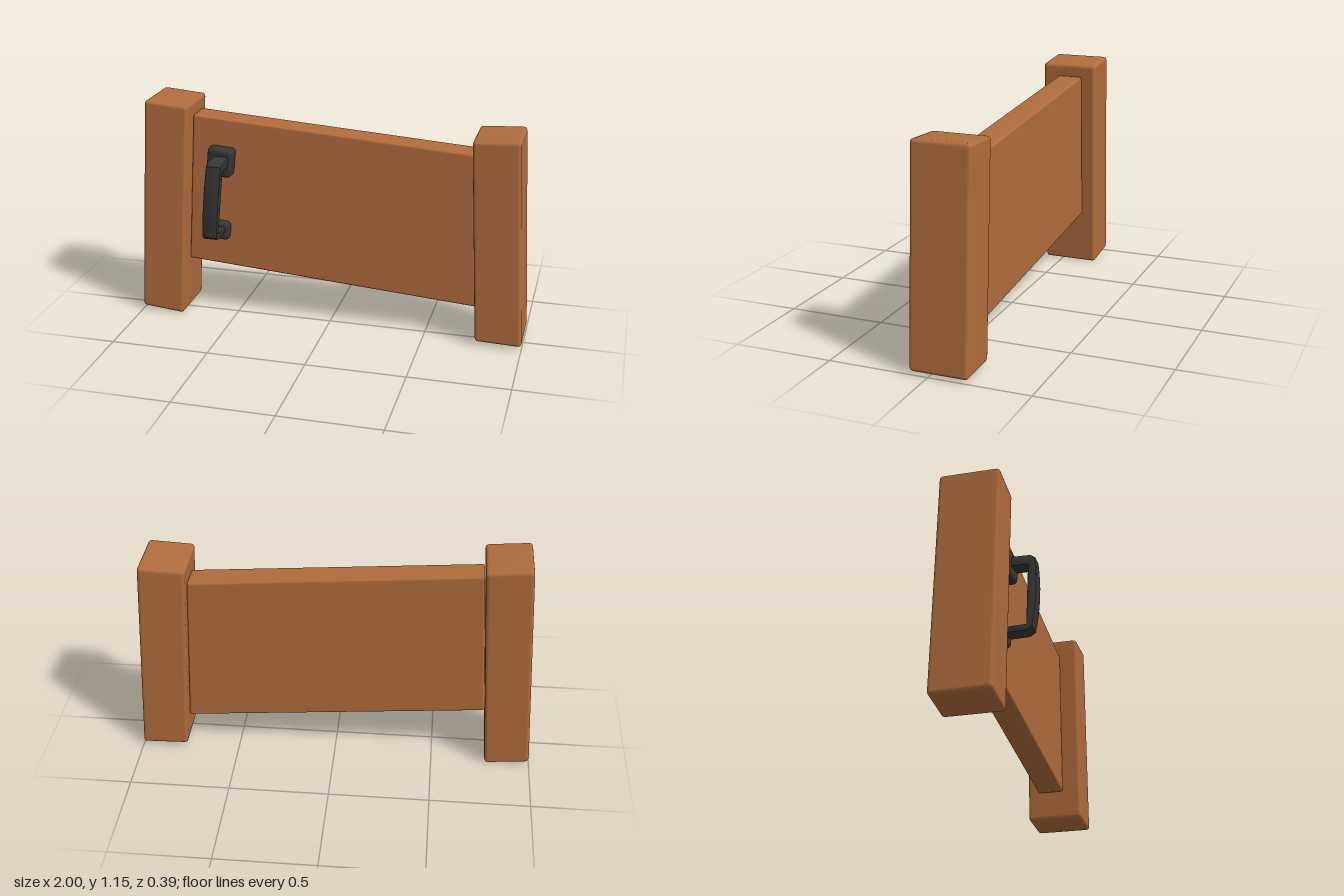
import * as THREE from 'three';
import { mergeVertices, toCreasedNormals } from 'three/addons/utils/BufferGeometryUtils.js';
import { RoundedBoxGeometry } from 'three/addons/geometries/RoundedBoxGeometry.js';

const wood = new THREE.MeshStandardMaterial({ color: 0xb06c3d });
wood.name = 'wood';
const iron = new THREE.MeshStandardMaterial({ color: 0x363636 });
iron.name = 'darkIron';

// Rounded block bent to a four-cornered front outline (bl, br, tr, tl);
// back and front give the depth range at the left and right ends.
function crookedBlock(name, material, [bl, br, tr, tl], back, front, radius) {
  const w = br[0] - bl[0], h = tl[1] - bl[1], d = front[0] - back[0];
  let geo = new RoundedBoxGeometry(w, h, d, 2, radius);
  const p = geo.attributes.position;
  const lerp = THREE.MathUtils.lerp;
  for (let i = 0; i < p.count; i++) {
    const u = p.getX(i) / w + 0.5, v = p.getY(i) / h + 0.5, t = p.getZ(i) / d + 0.5;
    const at = k => lerp(lerp(bl[k], br[k], u), lerp(tl[k], tr[k], u), v);
    p.setXYZ(i, at(0), at(1), lerp(lerp(back[0], back[1], u), lerp(front[0], front[1], u), t));
  }
  geo.deleteAttribute('normal');
  geo.deleteAttribute('uv');
  geo = mergeVertices(geo, 1e-5);
  geo.computeVertexNormals();
  const mesh = new THREE.Mesh(geo, material);
  mesh.name = name;
  return mesh;
}

// Bowed pull: side profile extruded across its width, then leaned to follow the post
function pullHandle() {
  const b = 0.01;
  const s = new THREE.Shape();
  s.moveTo(0, 0.455 + b);
  s.lineTo(0.145, 0.46 + b);
  s.lineTo(0.176 - b, 0.475 + b);
  s.quadraticCurveTo(0.205 - b, 0.67, 0.18 - b, 0.865 - b);
  s.lineTo(0.165 - b, 0.877 - b);
  s.lineTo(0, 0.882 - b);
  s.lineTo(0, 0.822 + b);
  s.lineTo(0.145 + b, 0.822 + b);
  s.lineTo(0.145 + b, 0.497 - b);
  s.lineTo(0, 0.492 - b);
  s.closePath();
  const depth = 0.062;
  let geo = new THREE.ExtrudeGeometry(s, {
    depth, bevelEnabled: true, bevelThickness: b, bevelSize: b, bevelSegments: 2, curveSegments: 8,
  });
  geo.translate(0, 0, -depth / 2);
  geo.rotateY(-Math.PI / 2);
  const p = geo.attributes.position;
  for (let i = 0; i < p.count; i++) {
    p.setX(i, p.getX(i) - 0.568 + (p.getY(i) - 0.668) * 0.095);
  }
  geo = toCreasedNormals(geo, 0.7);
  const mesh = new THREE.Mesh(geo, iron);
  mesh.name = 'pullHandle';
  return mesh;
}

export function createModel() {
  const gate = new THREE.Group();
  gate.name = 'gate';

  // Leaning posts
  gate.add(crookedBlock('rightPost', wood,
    [[-1.0, 0.022], [-0.775, 0.0], [-0.707, 1.133], [-0.932, 1.152]],
    [-0.19, -0.19], [0.1, 0.1], 0.018));
  gate.add(crookedBlock('leftPost', wood,
    [[0.766, 0.022], [1.0, 0.015], [0.943, 1.075], [0.713, 1.063]],
    [-0.195, -0.195], [0.095, 0.095], 0.018));

  // Sloping door panel
  gate.add(crookedBlock('doorPanel', wood,
    [[-0.757, 0.285], [0.757, 0.167], [0.719, 0.968], [-0.708, 1.072]],
    [-0.12, -0.137], [0.012, 0.0], 0.012));

  // Handle with its two mounting plates
  const handle = new THREE.Group();
  handle.name = 'handle';
  handle.add(crookedBlock('upperPlate', iron,
    [[-0.638, 0.77], [-0.502, 0.765], [-0.485, 0.912], [-0.622, 0.922]],
    [-0.01, -0.01], [0.062, 0.078], 0.022));
  handle.add(crookedBlock('lowerPlate', iron,
    [[-0.658, 0.424], [-0.53, 0.418], [-0.524, 0.512], [-0.65, 0.522]],
    [-0.01, -0.01], [0.048, 0.055], 0.02));
  handle.add(pullHandle());
  gate.add(handle);

  return gate;
}
